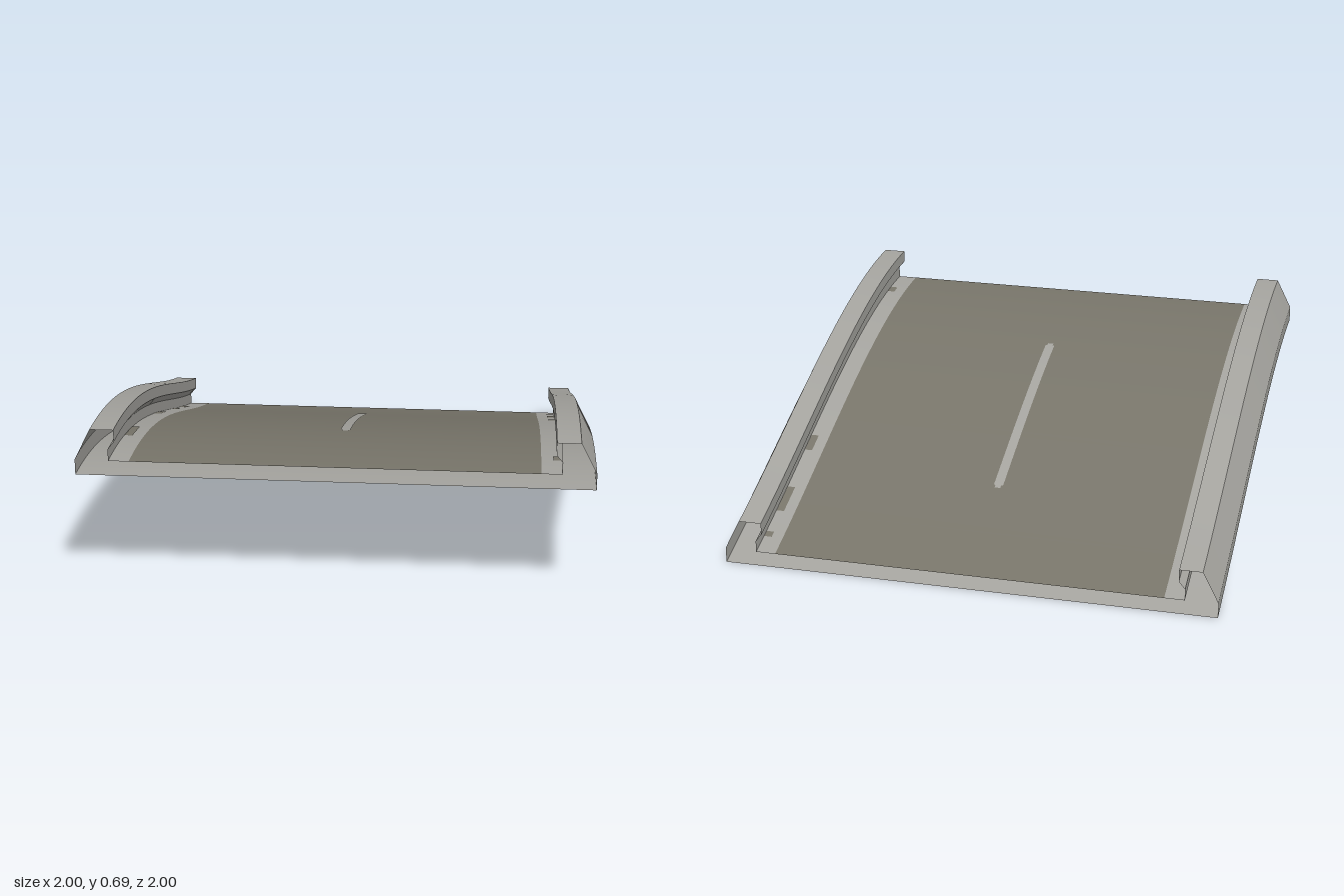
import * as THREE from 'three';

// Height of the underside along the slope: level at the front, still falling at the back
function slopeHeight(z) {
  const t = (1 - z) / 2;
  return 0.503 * (1 - 3 * t * t + 2 * t ** 3) + 0.56 * (t * t - t ** 3);
}

// Sweeps a cross-section [x, y] along the slope; each profile segment keeps hard edges
function sweep(profile, z0 = -1, z1 = 1) {
  const steps = Math.max(2, Math.ceil((z1 - z0) * 20));
  const positions = [], index = [];
  for (let s = 0; s < profile.length - 1; s++) {
    const base = positions.length / 3;
    for (let i = 0; i <= steps; i++) {
      const z = z0 + (z1 - z0) * i / steps;
      for (const [x, y] of [profile[s], profile[s + 1]]) {
        positions.push(x, y + slopeHeight(z), z);
      }
      if (i < steps) {
        const a = base + i * 2, b = a + 1, d = a + 2, c = a + 3;
        index.push(a, d, c, a, c, b);
      }
    }
  }
  const geometry = new THREE.BufferGeometry();
  geometry.setAttribute('position', new THREE.Float32BufferAttribute(positions, 3));
  geometry.setIndex(index);
  geometry.computeVertexNormals();
  return geometry;
}

const mirror = (profile) => profile.map(([x, y]) => [-x, y]).reverse();

export function createModel() {
  const group = new THREE.Group();
  const concrete = new THREE.MeshStandardMaterial({ color: 0xa5a49f, side: THREE.DoubleSide });
  concrete.name = 'concrete grey';
  const asphalt = new THREE.MeshStandardMaterial({ color: 0x78756a, side: THREE.DoubleSide });
  asphalt.name = 'asphalt brown';

  const add = (name, material, profile, z0, z1) => {
    const mesh = new THREE.Mesh(sweep(profile, z0, z1), material);
    mesh.name = name;
    group.add(mesh);
  };

  const deck = 0.06, paint = deck + 0.002;

  // Open-ended deck: road on top, plate underneath
  add('roadSurface', asphalt, [[-0.79, deck], [0.79, deck]]);
  add('underside', concrete, [[1, 0], [-1, 0]]);

  // Barriers with an overhanging inner lip and a bevelled outer face
  const barrier = [[0.87, deck], [0.87, 0.107], [0.845, 0.137], [0.845, 0.187],
    [0.937, 0.187], [1, 0.0625], [1, 0]];
  add('leftBarrier', concrete, barrier);
  add('rightBarrier', concrete, mirror(barrier));

  // Pale strips along the road edges
  const edge = [[0.79, deck], [0.87, deck]];
  add('leftEdgeStrip', concrete, edge);
  add('rightEdgeStrip', concrete, mirror(edge));

  // Centre line with slightly narrowed ends
  add('centreLine', concrete, [[-0.022, paint], [0.017, paint]], -0.49, 0.43);
  add('centreLineBackEnd', concrete, [[-0.014, paint], [0.010, paint]], -0.505, -0.49);
  add('centreLineFrontEnd', concrete, [[-0.014, paint], [0.010, paint]], 0.43, 0.445);

  // Worn patches beside the barriers
  const patch = [[0.836, paint], [0.868, paint]];
  for (const [z0, z1] of [[-0.91, -0.88], [-0.76, -0.62], [-0.4, -0.31], [0.8, 0.85]]) {
    add('leftWornPatch', asphalt, patch, z0, z1);
  }
  for (const [z0, z1] of [[-0.76, -0.62], [-0.5, -0.42], [-0.12, 0.02], [0.5, 0.67]]) {
    add('rightWornPatch', asphalt, mirror(patch), z0, z1);
  }
  return group;
}
